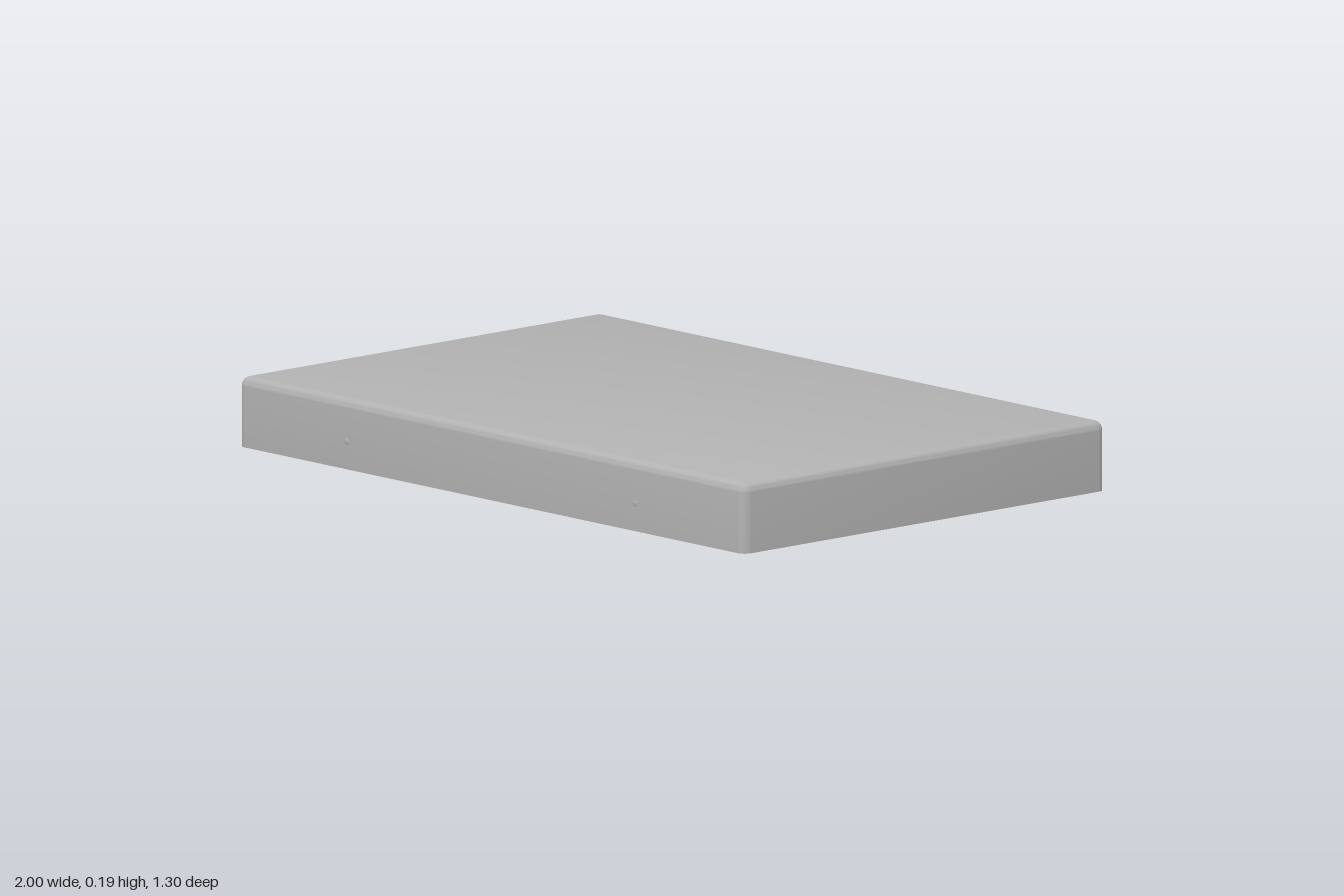
import * as THREE from 'three';
import { toCreasedNormals } from 'three/addons/utils/BufferGeometryUtils.js';

const HX = 1, HZ = 0.65, H = 0.19, WALL = 0.02, R = 0.025;
const CEILING = 0.175, PANEL = 0.147;

// Rounded rectangle outline in the xz plane at height y
function ring(hx, hz, r, y) {
  const pts = [];
  const corners = [[1, 1], [-1, 1], [-1, -1], [1, -1]];
  corners.forEach(([sx, sz], c) => {
    for (let i = 0; i <= 6; i++) {
      const a = (c + i / 6) * Math.PI / 2;
      pts.push([sx * (hx - r) + r * Math.cos(a), y, sz * (hz - r) + r * Math.sin(a)]);
    }
  });
  return pts;
}

// Skin between successive outlines
function loft(rings) {
  const pos = [];
  for (let k = 0; k < rings.length - 1; k++) {
    const a = rings[k], b = rings[k + 1], n = a.length;
    for (let i = 0; i < n; i++) {
      const j = (i + 1) % n;
      if (k < rings.length - 2) pos.push(...a[i], ...b[i], ...b[j]);
      else pos.push(...a[i], ...b[i], ...a[j]);
      if (k > 0 && k < rings.length - 2) pos.push(...a[i], ...b[j], ...a[j]);
    }
  }
  const g = new THREE.BufferGeometry();
  g.setAttribute('position', new THREE.Float32BufferAttribute(pos, 3));
  return toCreasedNormals(g, 0.6);
}

// Clip a convex polygon where sign * p[axis] <= limit
function clip(poly, axis, sign, limit) {
  const out = [];
  poly.forEach((p, i) => {
    const q = poly[(i + 1) % poly.length];
    const dp = sign * p[axis] - limit, dq = sign * q[axis] - limit;
    if (dp <= 0) out.push(p);
    if (dp * dq < 0) {
      const t = dp / (dp - dq);
      out.push([p[0] + t * (q[0] - p[0]), p[1] + t * (q[1] - p[1])]);
    }
  });
  return out;
}

// Sheet with a field of hexagonal pockets trimmed to a rectangle
function honeycomb() {
  const w = HX - WALL, d = HZ - WALL, fx = 0.84, fz = 0.49;
  const pitch = 0.165, row = pitch * Math.sqrt(3) / 2, rad = 0.072;
  const shape = new THREE.Shape([[-w, -d], [w, -d], [w, d], [-w, d]].map(p => new THREE.Vector2(...p)));
  for (let j = -4; j <= 4; j++) {
    for (let i = -6; i <= 6; i++) {
      const cx = (i + (j % 2 ? 0.5 : 0)) * pitch, cz = j * row;
      let hex = [];
      for (let k = 0; k < 6; k++) {
        const a = (k + 0.5) * Math.PI / 3;
        hex.push([cx + rad * Math.cos(a), cz + rad * Math.sin(a)]);
      }
      for (const s of [1, -1]) hex = clip(clip(hex, 0, s, fx), 1, s, fz);
      if (hex.length > 2) shape.holes.push(new THREE.Path(hex.map(p => new THREE.Vector2(...p))));
    }
  }
  const g = new THREE.ExtrudeGeometry(shape, { depth: CEILING - PANEL, bevelEnabled: false });
  return g.rotateX(Math.PI / 2).translate(0, CEILING, 0);
}

export function createModel() {
  const group = new THREE.Group();
  const grey = new THREE.MeshStandardMaterial({ color: 0xb2b2b2 });
  grey.name = 'grey';
  const add = (name, geometry) => {
    const mesh = new THREE.Mesh(geometry, grey);
    mesh.name = name;
    group.add(mesh);
    return mesh;
  };

  // Hollow lid: inner ceiling, inner walls, rim, outer walls, rounded top edge
  const ix = HX - WALL, iz = HZ - WALL;
  const rings = [
    ring(0, 0, 0, CEILING), ring(ix, iz, 0.012, CEILING), ring(ix, iz, 0.012, 0), ring(HX, HZ, R, 0),
  ];
  for (let i = 0; i <= 6; i++) {
    const a = i / 6 * Math.PI / 2, inset = R * (1 - Math.cos(a));
    rings.push(ring(HX - inset, HZ - inset, R - inset, H - R + R * Math.sin(a)));
  }
  rings.push(ring(0, 0, 0, H));
  add('lidShell', loft(rings));

  // Pocketed underside
  add('honeycombPanel', honeycomb());

  // Snap bumps set into the long walls
  const bump = new THREE.SphereGeometry(0.021, 24, 16);
  for (const sx of [1, -1]) for (const sz of [1, -1]) {
    add('snapBump', bump).position.set(sx * 0.57, 0.075, sz * (HZ - 0.019));
  }
  return group;
}
